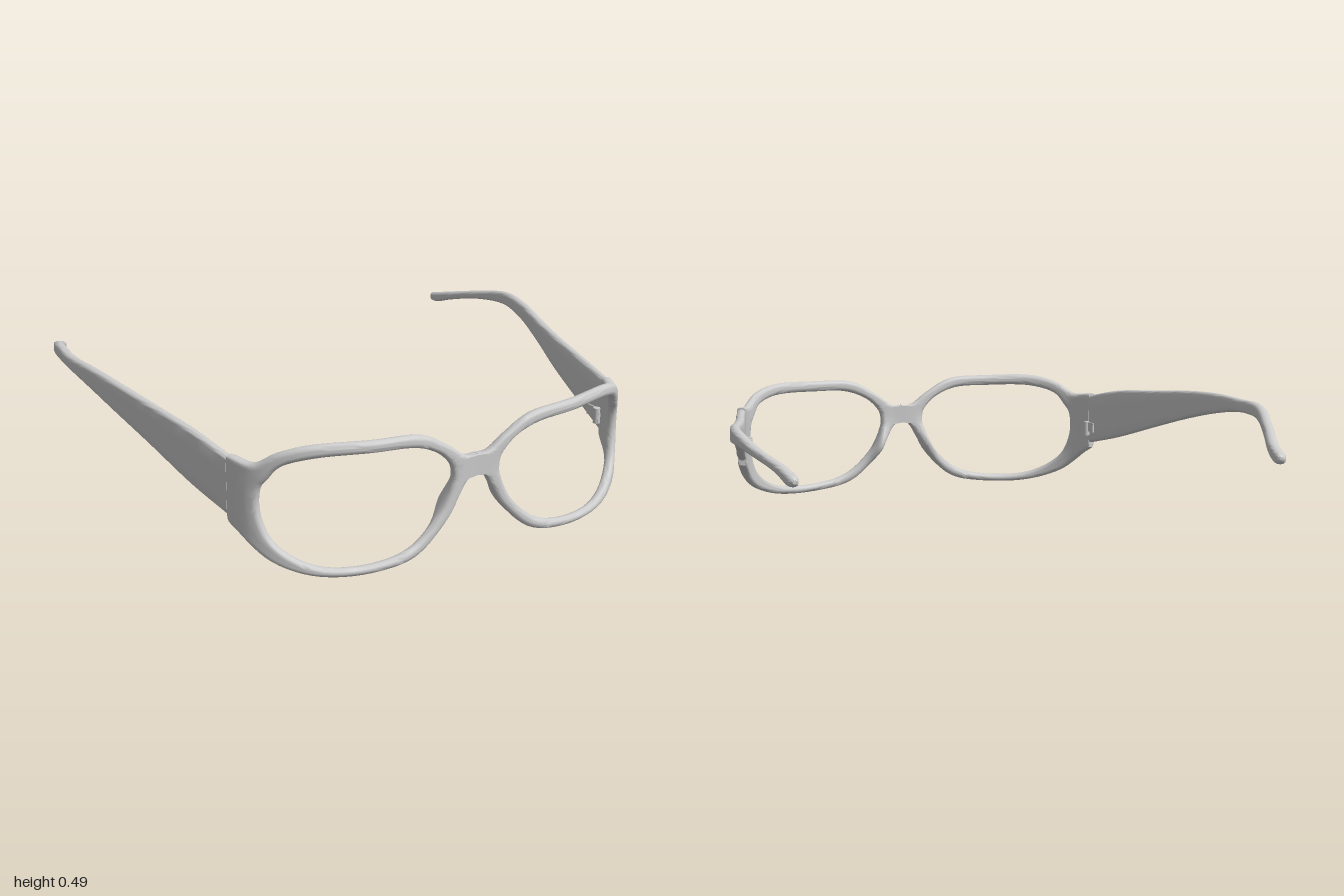
import * as THREE from 'three';
import { toCreasedNormals } from 'three/addons/utils/BufferGeometryUtils.js';

const MID = -0.05; // x of the bridge
const material = new THREE.MeshStandardMaterial({ color: 0xcccccc, roughness: 0.6 });
const clamp = THREE.MathUtils.clamp;

// Cross-section of a slab with rounded edges: k picks the edge, (c, s) the point on its rounding
const SECTION = [];
for (const side of [1, -1]) {
  for (let i = 0; i <= 6; i++) {
    const a = -Math.PI / 2 + (Math.PI * i) / 6;
    SECTION.push({ k: side, c: side * Math.cos(a), s: side * Math.sin(a) });
  }
  for (const k of [0.5, 0, -0.5]) SECTION.push({ k: side * k, c: 0, s: side });
}

// Skin a list of equal rings; closed joins the last to the first, otherwise the ends are capped
function loft(rings, closed) {
  const n = rings[0].length, m = rings.length, index = [];
  const points = rings.flat();
  for (let i = 0; i < (closed ? m : m - 1); i++) {
    for (let j = 0; j < n; j++) {
      const a = i * n + j, b = i * n + ((j + 1) % n);
      const c = ((i + 1) % m) * n + j, d = ((i + 1) % m) * n + ((j + 1) % n);
      index.push(a, b, c, b, d, c);
    }
  }
  if (!closed) {
    for (const [ring, start, flip] of [[rings[0], 0, true], [rings[m - 1], (m - 1) * n, false]]) {
      const centre = ring.reduce((v, p) => v.add(p), new THREE.Vector3()).divideScalar(n);
      points.push(centre);
      for (let j = 0; j < n; j++) {
        const a = start + j, b = start + ((j + 1) % n);
        index.push(points.length - 1, flip ? b : a, flip ? a : b);
      }
    }
  }
  // Turn the faces outward
  let volume = 0;
  const cross = new THREE.Vector3();
  for (let i = 0; i < index.length; i += 3) {
    volume += points[index[i]].dot(cross.crossVectors(points[index[i + 1]], points[index[i + 2]]));
  }
  if (volume < 0) index.reverse();
  const geometry = new THREE.BufferGeometry().setFromPoints(points);
  geometry.setIndex(index);
  return toCreasedNormals(geometry, 0.8);
}

function addMesh(parent, name, geometry, x = 0, y = 0, z = 0) {
  const mesh = new THREE.Mesh(geometry, material);
  mesh.name = name;
  mesh.position.set(x, y, z);
  parent.add(mesh);
  return mesh;
}

// Wrap of the front seen from above (distance from bridge, z)
const wrap = new THREE.CatmullRomCurve3(
  [[0, 0.938], [0.15, 0.94], [0.3, 0.94], [0.45, 0.915], [0.6, 0.86], [0.7, 0.79], [0.75, 0.73], [0.785, 0.645]]
    .map(([u, z]) => new THREE.Vector3(u, 0, z)));
const WRAP_LENGTH = wrap.getLength();

// Half of the front, unrolled: lens edge (s, y) paired with outer edge (s, y)
const RIM = [
  [0.095, 0.29, -0.04, 0.32], [0.1, 0.325, -0.04, 0.353], [0.115, 0.35, 0.04, 0.357],
  [0.16, 0.39, 0.11, 0.405], [0.25, 0.425, 0.22, 0.465], [0.4, 0.432, 0.4, 0.476],
  [0.6, 0.428, 0.61, 0.474], [0.71, 0.395, 0.72, 0.445], [0.755, 0.345, 0.8, 0.402],
  [0.775, 0.32, 0.93, 0.4], [0.785, 0.26, 0.94, 0.3], [0.775, 0.2, 0.93, 0.19],
  [0.74, 0.13, 0.85, 0.135], [0.67, 0.075, 0.74, 0.055], [0.56, 0.035, 0.58, 0.004],
  [0.37, 0.035, 0.37, 0.002], [0.25, 0.07, 0.23, 0.035], [0.15, 0.16, 0.105, 0.15],
  [0.115, 0.22, 0.065, 0.22], [0.1, 0.26, 0.025, 0.278], [0.096, 0.275, -0.04, 0.287],
];

function rimGeometry(side) {
  const loop = (k) => new THREE.CatmullRomCurve3(
    RIM.map((r) => new THREE.Vector3(r[k], r[k + 1], 0)), true);
  const inner = loop(0), outer = loop(2), rings = [];
  const steps = RIM.length * 6;
  for (let i = 0; i < steps; i++) {
    const a = inner.getPoint(i / steps), b = outer.getPoint(i / steps);
    const across = b.clone().sub(a), width = across.length();
    across.normalize();
    const r = Math.min(0.018, width / 2);
    rings.push(SECTION.map(({ k, c, s }) => {
      const p = a.clone().lerp(b, 0.5).addScaledVector(across, k * (width / 2 - r) + r * c);
      // Nose pad: the back swells beside the bridge
      const pad = Math.exp(-(((p.x - 0.11) / 0.05) ** 2) - ((p.y - 0.19) / 0.08) ** 2);
      const depth = 0.018 * s * (s < 0 ? 1 + 2.2 * pad : 1);
      const t = clamp(p.x / WRAP_LENGTH, 0, 1);
      const q = wrap.getPointAt(t), tan = wrap.getTangentAt(t);
      const u = t === 0 ? 0 : q.x - tan.z * depth;
      return new THREE.Vector3(MID + side * u, p.y, q.z + (t === 0 ? 1 : tan.x) * depth);
    }));
  }
  return loft(rings, true);
}

// Temples, hinge to tip: x, z, bottom, top
const LEFT_TEMPLE = [
  [0.735, 0.645, 0.19, 0.4], [0.785, 0.45, 0.23, 0.408], [0.845, 0.2, 0.29, 0.42],
  [0.9, 0, 0.343, 0.43], [0.957, -0.2, 0.378, 0.445], [0.984, -0.37, 0.393, 0.446],
  [0.965, -0.55, 0.374, 0.41], [0.925, -0.7, 0.338, 0.375], [0.91, -0.79, 0.31, 0.352],
  [0.909, -0.82, 0.312, 0.345], [0.909, -0.832, 0.322, 0.336],
];
const RIGHT_TEMPLE = [
  [-0.835, 0.645, 0.19, 0.4], [-0.873, 0.45, 0.235, 0.437], [-0.915, 0.2, 0.305, 0.46],
  [-0.95, 0, 0.36, 0.478], [-0.975, -0.2, 0.405, 0.487], [-0.985, -0.38, 0.43, 0.482],
  [-0.962, -0.57, 0.425, 0.478], [-0.9, -0.74, 0.38, 0.425], [-0.845, -0.87, 0.333, 0.38],
  [-0.832, -0.93, 0.312, 0.358], [-0.83, -0.95, 0.314, 0.35], [-0.83, -0.96, 0.325, 0.34],
];

function templeGeometry(rows) {
  const edge = (k) => new THREE.CatmullRomCurve3(rows.map((r) => new THREE.Vector3(r[0], r[k], r[1])));
  const bottom = edge(2), top = edge(3), rings = [];
  const steps = (rows.length - 1) * 5;
  for (let i = 0; i <= steps; i++) {
    const t = i / steps;
    const a = bottom.getPoint(t), b = top.getPoint(t), tan = top.getTangent(t);
    const normal = new THREE.Vector3(-tan.z, 0, tan.x).normalize();
    const height = b.y - a.y;
    const r = Math.min(0.012, height / 2);
    const half = Math.min(0.016 + 0.004 * t, height / 2);
    rings.push(SECTION.map(({ k, c, s }) => {
      const p = a.clone().lerp(b, 0.5).addScaledVector(normal, half * s);
      p.y += k * (height / 2 - r) + r * c;
      return p;
    }));
  }
  return loft(rings, false);
}

// Small barrel hinge with a leaf on the temple and one on the front
function makeHinge(name, side) {
  const hinge = new THREE.Group();
  hinge.name = name;
  addMesh(hinge, 'hingeBarrel', new THREE.CylinderGeometry(0.013, 0.013, 0.06, 16));
  addMesh(hinge, 'templeLeaf', new THREE.BoxGeometry(0.006, 0.04, 0.06), 0.004 * side, 0.008, -0.032);
  addMesh(hinge, 'frontLeaf', new THREE.BoxGeometry(0.03, 0.04, 0.012), 0.012 * side, -0.008, 0.008);
  hinge.position.set(MID + side * 0.757, 0.255, 0.635);
  return hinge;
}

export function createModel() {
  const group = new THREE.Group();
  group.name = 'eyeglassFrame';
  addMesh(group, 'leftRim', rimGeometry(1));
  addMesh(group, 'rightRim', rimGeometry(-1));
  addMesh(group, 'leftTemple', templeGeometry(LEFT_TEMPLE));
  addMesh(group, 'rightTemple', templeGeometry(RIGHT_TEMPLE));
  group.add(makeHinge('leftHinge', 1), makeHinge('rightHinge', -1));
  return group;
}
